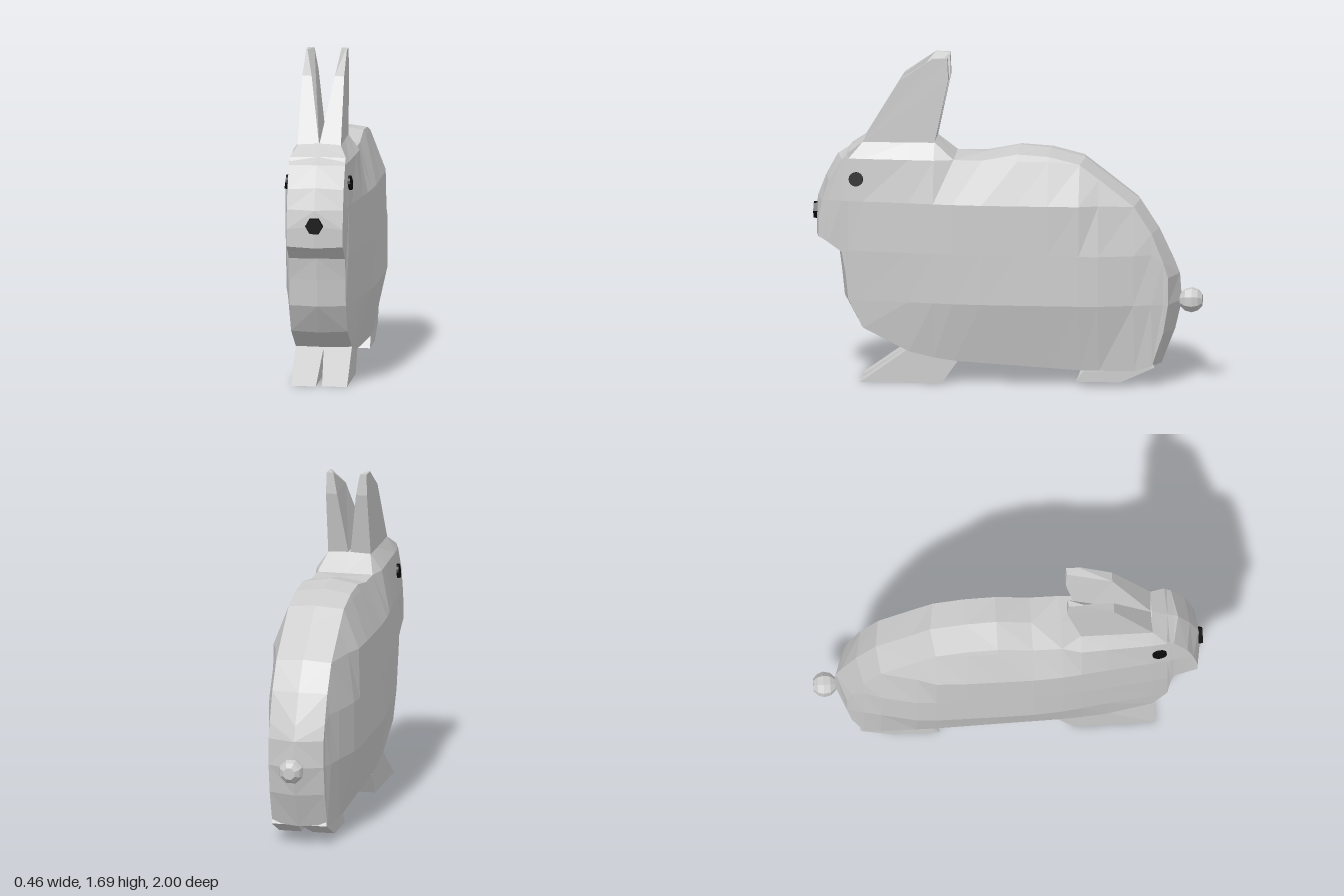
import * as THREE from 'three';

const grey = new THREE.MeshStandardMaterial({ color: 0xcccccc, flatShading: true });
const black = new THREE.MeshStandardMaterial({ color: 0x0a0a0a, flatShading: true });

// Collects polygons as fans of flat triangles, each with its mirror image
function facets() {
  const pos = [];
  const tri = (a, b, c) => {
    const n = b.clone().sub(a).cross(c.clone().sub(a));
    if (n.length() < 1e-7) return;
    for (const p of [a, b, c]) pos.push(p.x, p.y, p.z);
  };
  const flip = (p) => new THREE.Vector3(-p.x, p.y, p.z);
  return {
    poly(points, mirror = false) {
      for (let i = 1; i < points.length - 1; i++) {
        tri(points[0], points[i], points[i + 1]);
        if (mirror) tri(flip(points[0]), flip(points[i + 1]), flip(points[i]));
      }
    },
    build() {
      const g = new THREE.BufferGeometry();
      g.setAttribute('position', new THREE.Float32BufferAttribute(pos, 3));
      g.computeVertexNormals();
      return g;
    },
  };
}

// Slab with a side outline; each corner is [z, y, inner x, outer x]
function slab(corners, side) {
  const f = facets();
  const at = (c, x) => new THREE.Vector3(side * x, c[1], c[0]);
  const add = (pts) => f.poly(side > 0 ? pts : pts.reverse());
  add(corners.map((c) => at(c, c[3])));
  add(corners.map((c) => at(c, c[2])).reverse());
  corners.forEach((c, i) => {
    const d = corners[(i + 1) % corners.length];
    add([at(c, c[3]), at(c, c[2]), at(d, d[2]), at(d, d[3])]);
  });
  return f.build();
}

// Body stations, nose to rump: rim z, bottom, top, then keel z, y and spine z, y
const stations = [
  [0.965, 0.76, 0.85, 0.985, 0.755, 0.985, 0.87],
  [0.945, 0.75, 0.95, 0.97, 0.745, 0.978, 0.95],
  [0.915, 0.73, 1.05, 0.945, 0.73, 0.935, 1.06],
  [0.845, 0.68, 1.165, 0.87, 0.685, 0.875, 1.17],
  [0.825, 0.57, 1.18, 0.855, 0.57, 0.85, 1.185],
  [0.81, 0.43, 1.2, 0.84, 0.43, 0.82, 1.205],
  [0.735, 0.285, 1.255, 0.75, 0.28, 0.74, 1.26],
  [0.5, 0.165, 1.255, 0.5, 0.16, 0.5, 1.26],
  [0.37, 0.135, 1.255, 0.37, 0.13, 0.37, 1.26],
  [0.27, 0.12, 1.17, 0.27, 0.115, 0.27, 1.17],
  [0.12, 0.11, 1.17, 0.12, 0.105, 0.12, 1.19],
  [-0.06, 0.1, 1.205, -0.06, 0.095, -0.06, 1.23],
  [-0.22, 0.09, 1.195, -0.22, 0.085, -0.22, 1.215],
  [-0.38, 0.08, 1.155, -0.38, 0.075, -0.4, 1.17],
  [-0.48, 0.08, 1.08, -0.48, 0.075, -0.5, 1.09],
  [-0.66, 0.08, 0.94, -0.66, 0.08, -0.68, 0.955],
  [-0.75, 0.105, 0.8, -0.79, 0.1, -0.78, 0.805],
  [-0.81, 0.28, 0.65, -0.86, 0.28, -0.855, 0.645],
  [-0.835, 0.43, 0.57, -0.895, 0.43, -0.885, 0.57],
];
const RIM = 0.145, BULGE = 0.085;

function bodyGeometry() {
  const rings = stations.map(([z, bot, top, kz, ky, sz, sy]) => {
    // Flanks are widest amidships and taper to the rim all round
    const along = Math.max(0, Math.min(1, (0.96 - z) / 0.76, (z + 0.84) / 0.39));
    const flank = [0.43, 0.69, 0.95, 1.17].map((row) => {
      const y = Math.min(top, Math.max(bot, row));
      const up = Math.min(1, (y - bot) / 0.33, (top - y) / 0.22);
      return new THREE.Vector3(RIM + BULGE * along * up, y, z);
    });
    return [
      new THREE.Vector3(0, ky, kz),
      new THREE.Vector3(RIM, bot, z),
      ...flank,
      new THREE.Vector3(top > 1.25 ? 0.11 : RIM, top, z),
      new THREE.Vector3(0, sy, sz),
    ];
  });
  const f = facets();
  for (let i = 0; i < rings.length - 1; i++) {
    const a = rings[i], b = rings[i + 1];
    for (let j = 0; j < a.length - 1; j++) f.poly([a[j], b[j], b[j + 1], a[j + 1]], true);
  }
  f.poly(rings[0], true);
  f.poly([...rings[rings.length - 1]].reverse(), true);
  return f.build();
}

const ear = [
  [0.74, 1.25, 0, 0.112], [0.37, 1.25, 0.005, 0.112], [0.3, 1.58, 0.05, 0.108],
  [0.305, 1.69, 0.07, 0.105], [0.38, 1.69, 0.098, 0.105], [0.54, 1.58, 0.06, 0.108],
];
const frontLeg = [
  [0.75, 0, 0.016, 0.145], [0.33, 0, 0.016, 0.145], [0.25, 0.115, 0.003, 0.145],
  [0.3, 0.2, 0, 0.145], [0.47, 0.2, 0, 0.145], [0.52, 0.163, 0, 0.145],
];
const hindFoot = [
  [-0.4, 0.07, 0.02, 0.145], [-0.36, 0.02, 0.03, 0.145], [-0.59, 0.02, 0.03, 0.145],
  [-0.765, 0.1, 0.005, 0.145], [-0.74, 0.16, 0, 0.14], [-0.44, 0.16, 0, 0.14],
];

export function createModel() {
  const model = new THREE.Group();
  model.name = 'rabbit';
  const add = (name, geometry, material = grey) => {
    const mesh = new THREE.Mesh(geometry, material);
    mesh.name = name;
    model.add(mesh);
    return mesh;
  };

  add('body', bodyGeometry());

  // Paired parts
  for (const [side, label] of [[1, 'left'], [-1, 'right']]) {
    add(label + 'Ear', slab(ear, side));
    add(label + 'FrontLeg', slab(frontLeg, side));
    add(label + 'HindFoot', slab(hindFoot, side));
    const eye = add(label + 'Eye', new THREE.CylinderGeometry(0.037, 0.037, 0.016, 16).rotateZ(Math.PI / 2), black);
    eye.position.set(side * 0.163, 1.065, 0.77);
    eye.rotation.set(0, side * -0.08, side * 0.13);
  }

  // Six-sided nose with corners to the left and right
  const nose = add('nose', new THREE.CylinderGeometry(0.044, 0.047, 0.025, 6).rotateY(Math.PI / 6).rotateX(Math.PI / 2), black);
  nose.geometry.computeBoundingBox();
  nose.position.set(0, 0.87, 0.9875);

  // Faceted tail bobble, pointing backwards
  const profile = [[0, -0.02], [0.035, 0], [0.058, 0.025], [0.066, 0.06], [0.055, 0.09], [0.032, 0.112], [0, 0.112]];
  const tail = add('tail', new THREE.LatheGeometry(profile.map(([r, h]) => new THREE.Vector2(r, h)), 8, Math.PI / 8));
  tail.rotation.x = -Math.PI / 2;
  tail.position.set(0, 0.43, -0.888);
  return model;
}
